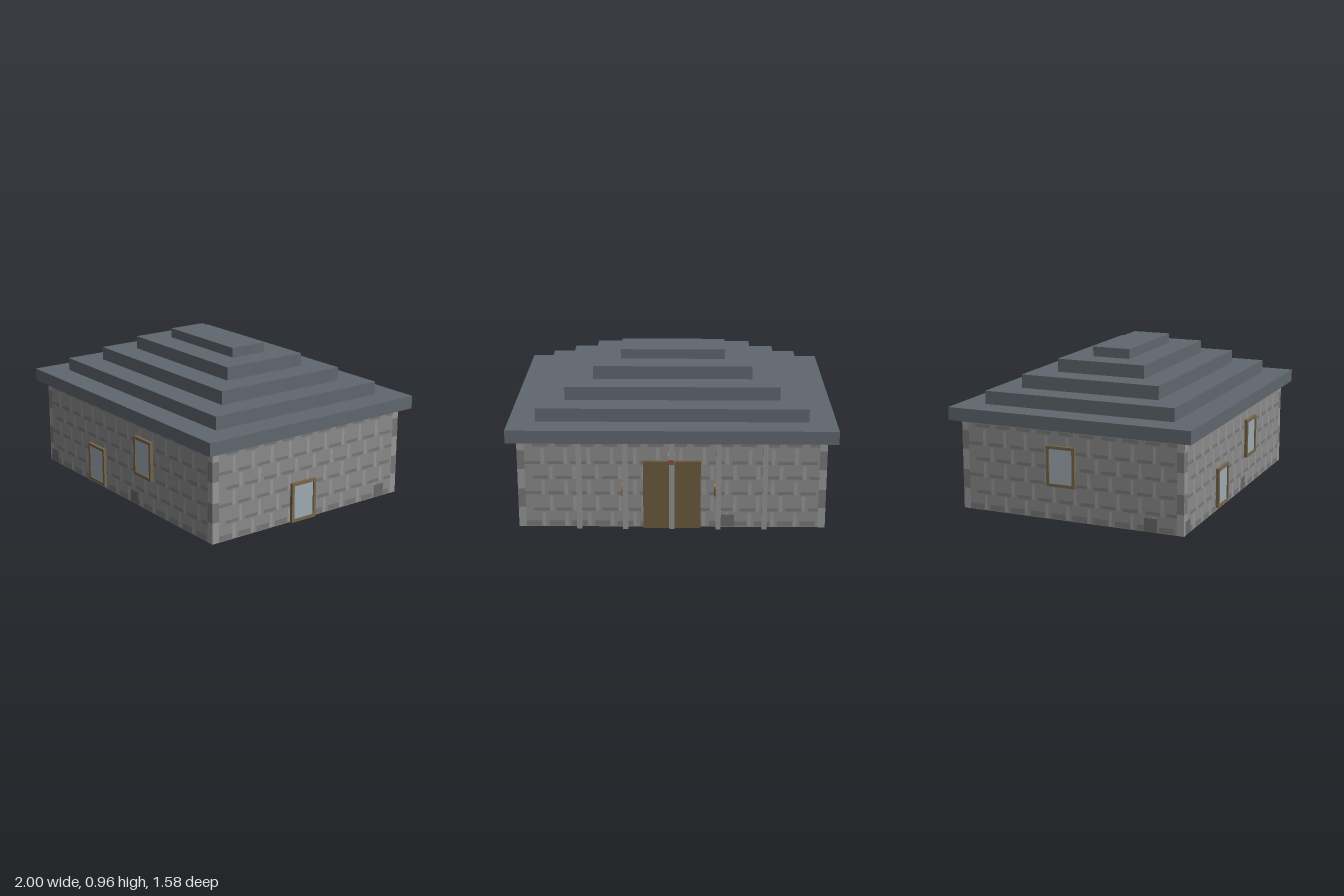
import * as THREE from 'three';
import { mergeGeometries } from 'three/addons/utils/BufferGeometryUtils.js';

const material = (color) => new THREE.MeshStandardMaterial({ color });
const stone = material(0x8a8a8a), darkStone = material(0x777777), lightStone = material(0x979797);
const patchStone = material(0x686868), slate = material(0x5f676e), wood = material(0x75654a);
const doorWood = material(0x6b5a3c), glass = material(0x9eabb3), pillarStone = material(0x929292);
const ember = material(0xc07830), red = material(0x8e4a42);

const WALL_X = 0.94, WALL_Z = 0.73, WALL_H = 0.57;

// Box given by its limits on each axis
function box(parent, name, mat, x0, x1, y0, y1, z0, z1) {
  const mesh = new THREE.Mesh(new THREE.BoxGeometry(x1 - x0, y1 - y0, z1 - z0), mat);
  mesh.position.set((x0 + x1) / 2, (y0 + y1) / 2, (z0 + z1) / 2);
  mesh.name = name;
  parent.add(mesh);
  return mesh;
}

// Flat stones of one colour, merged; each is [x0, x1, y0, y1] on the wall
function stones(parent, name, mat, rects, lift) {
  const geometries = rects.map(([x0, x1, y0, y1]) =>
    new THREE.PlaneGeometry(x1 - x0, y1 - y0).translate((x0 + x1) / 2, (y0 + y1) / 2, lift));
  const mesh = new THREE.Mesh(mergeGeometries(geometries), mat);
  mesh.name = name;
  parent.add(mesh);
}

// Stonework of one wall; local +z points out and z = 0 is the wall face
function stoneWall(name, half, dist, angle, patches) {
  const wall = new THREE.Group();
  wall.name = name;
  wall.rotation.y = angle;
  wall.position.set(Math.sin(angle) * dist, 0, Math.cos(angle) * dist);
  const joints = [], edges = [], corners = [], quoins = [];
  const step = 0.14, inner = half - 0.045;
  const rows = [0.005, 0.105, 0.213, 0.315, 0.412, 0.525];
  rows.forEach((y, row) => {
    const shift = row % 2 ? 0.05 : 0;
    for (let x = -inner + shift; x < inner - 0.03; x += step) {
      joints.push([x, Math.min(x + 0.095, inner), y, y + (row ? 0.02 : 0.033)]);
      if (row < 5 && x + 0.12 < inner) edges.push([x + 0.1, x + 0.12, y, rows[row + 1] - 0.01]);
    }
  });
  for (const s of [-1, 1]) {
    const x0 = s < 0 ? -half : inner, x1 = s < 0 ? -inner : half;
    corners.push([x0, x1, 0, WALL_H]);
    for (const y of [0.13, 0.38]) quoins.push([x0, x1, y, y + 0.12]);
  }
  stones(wall, 'stoneJoints', darkStone, joints, 0.001);
  stones(wall, 'stoneEdges', lightStone, edges, 0.0015);
  stones(wall, 'cornerStrips', lightStone, corners, 0.001);
  stones(wall, 'cornerStones', darkStone, quoins, 0.002);
  if (patches.length) {
    stones(wall, 'footStones', patchStone, patches.map((x) => [x, x + 0.082, 0.002, 0.085]), 0.0025);
  }
  return wall;
}

// Framed window, lower left corner at (x, y) on the wall
function addWindow(wall, x, y) {
  const group = new THREE.Group();
  group.name = 'window';
  group.position.set(x, y, 0);
  const w = 0.187, h = 0.25, t = 0.018, d = 0.02;
  box(group, 'frameLeft', wood, 0, t, 0, h, 0, d);
  box(group, 'frameRight', wood, w - t, w, 0, h, 0, d);
  box(group, 'frameBottom', wood, t, w - t, 0, t, 0, d);
  box(group, 'frameTop', wood, t, w - t, h - t, h, 0, d);
  box(group, 'pane', glass, t, w - t, t, h - t, 0, 0.012);
  wall.add(group);
}

export function createModel() {
  const house = new THREE.Group();
  house.name = 'stoneHouse';
  box(house, 'walls', stone, -WALL_X, WALL_X, 0, WALL_H, -WALL_Z, WALL_Z);

  // Stonework and windows
  const front = stoneWall('frontWall', WALL_X, WALL_Z, 0, [-0.92, 0.08]);
  const left = stoneWall('leftWall', WALL_Z, WALL_X, Math.PI / 2, [0.54]);
  const back = stoneWall('backWall', WALL_X, WALL_Z, Math.PI, [0.3]);
  const right = stoneWall('rightWall', WALL_Z, WALL_X, -Math.PI / 2, [0.48]);
  house.add(front, left, back, right);
  addWindow(front, -0.397, 0.02);
  addWindow(front, 0.144, 0.21);
  addWindow(left, -0.148, 0);
  addWindow(right, -0.148, 0.21);

  // Stepped roof: half width, half depth, bottom, top
  const tiers = [
    [1, 0.79, 0.565, 0.647],
    [0.833, 0.625, 0.647, 0.73],
    [0.667, 0.458, 0.73, 0.815],
    [0.5, 0.292, 0.815, 0.898],
    [0.333, 0.125, 0.898, 0.96],
  ];
  const roof = new THREE.Group();
  roof.name = 'roof';
  for (const [x, z, y0, y1] of tiers) box(roof, 'roofTier', slate, -x, x, y0, y1, -z, z);
  house.add(roof);

  // Double door in the back wall
  for (const s of [-1, 1]) {
    const inner = s * 0.004, outer = s * 0.175;
    box(house, 'doorLeaf', doorWood, Math.min(inner, outer), Math.max(inner, outer), 0, 0.437, -0.752, -WALL_Z);
  }

  // Thin free-standing pillars under the eave
  for (const x of [-0.565, -0.283, 0, 0.283, 0.565]) {
    box(house, 'pillar', pillarStone, x - 0.016, x + 0.016, 0, 0.566, -0.767, -0.749);
  }

  // Wall lamps beside the inner pillars
  for (const x of [-0.27, 0.295]) {
    box(house, 'lampStick', wood, x - 0.012, x + 0.012, 0.215, 0.265, -0.762, -WALL_Z);
    box(house, 'lampFlame', ember, x - 0.012, x + 0.012, 0.265, 0.285, -0.762, -WALL_Z);
  }

  // Small bell over the door
  box(house, 'bell', red, -0.012, 0.022, 0.425, 0.455, -0.774, -0.752);
  box(house, 'bellMount', pillarStone, -0.02, 0.024, 0.455, 0.485, -0.77, -WALL_Z);
  return house;
}
